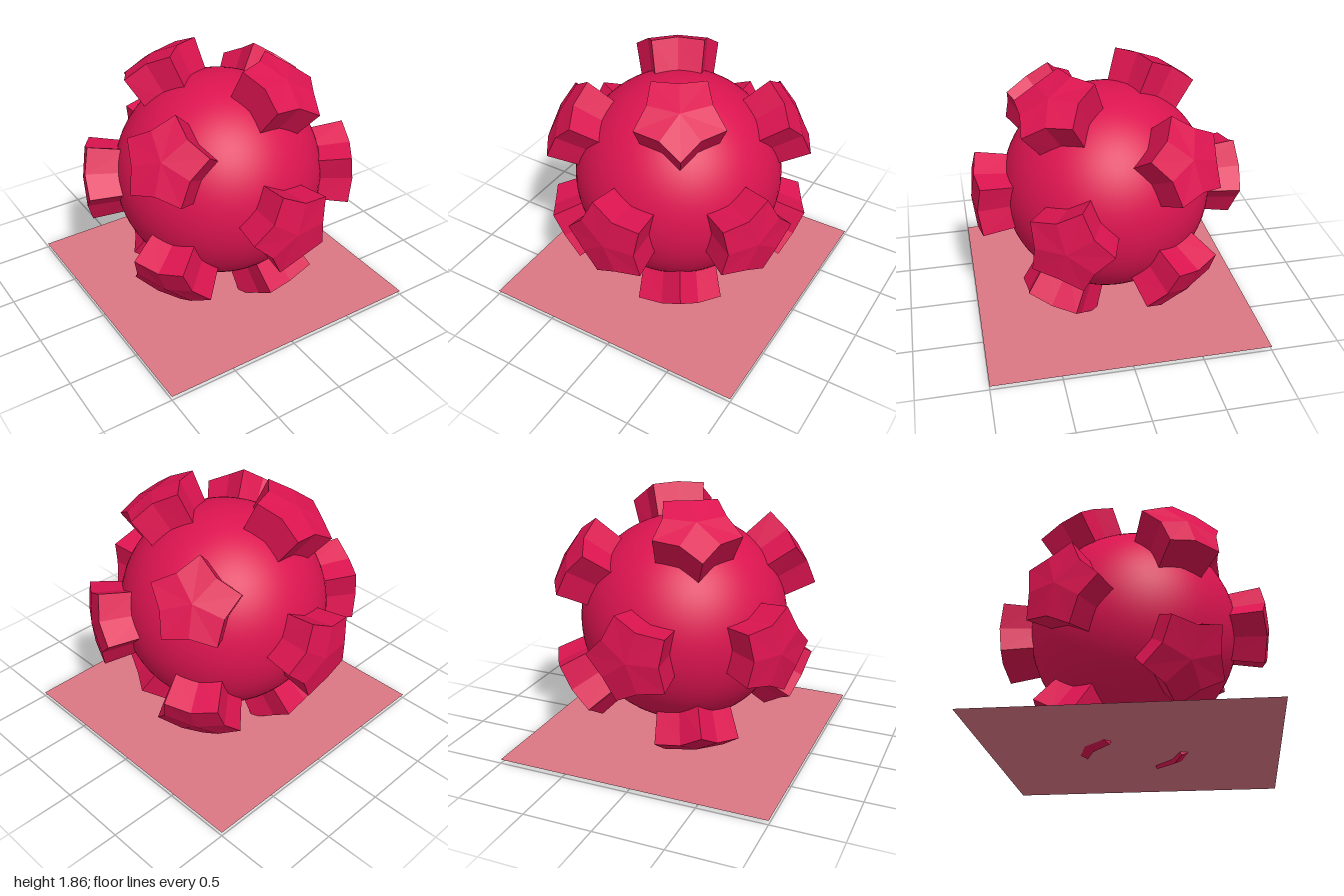
import * as THREE from 'three';

const CENTRE_Y = 0.93, BALL_R = 0.75, CAP_R = 0.98;

// Five-pointed stud along +z, first tip on +x; its cap lies on a sphere of radius CAP_R
function studGeometry() {
  const top = [], base = [], pos = [];
  for (let i = 0; i < 10; i++) {
    const a = i * Math.PI / 5, r = i % 2 ? 0.225 : 0.316;
    const x = r * Math.cos(a), y = r * Math.sin(a);
    top.push([x, y, Math.sqrt(CAP_R * CAP_R - r * r)]);
    base.push([x * 0.854, y * 0.854, 0.65]);
  }
  const tri = (...corners) => corners.forEach(c => pos.push(...c));
  for (let i = 0; i < 10; i++) {
    const j = (i + 1) % 10;
    tri([0, 0, CAP_R], top[i], top[j]);
    tri(top[i], base[i], base[j]);
    tri(top[i], base[j], top[j]);
    tri([0, 0, 0.65], base[j], base[i]);
  }
  const geo = new THREE.BufferGeometry();
  geo.setAttribute('position', new THREE.Float32BufferAttribute(pos, 3));
  geo.computeVertexNormals();
  return geo;
}

export function createModel() {
  const model = new THREE.Group();
  model.name = 'studdedBall';
  const color = 0xdc1450;
  const smooth = new THREE.MeshStandardMaterial({ color });
  const flat = new THREE.MeshStandardMaterial({ color, flatShading: true });

  const ball = new THREE.Mesh(new THREE.SphereGeometry(BALL_R, 64, 40), smooth);
  ball.name = 'ball';
  ball.position.y = CENTRE_Y;
  model.add(ball);

  // Twelve studs: two poles on the z axis and two staggered rings of five
  const studs = new THREE.Group();
  studs.name = 'studs';
  studs.position.y = CENTRE_Y;
  model.add(studs);
  const geo = studGeometry();
  const addStud = (dir, tip) => {
    const z = dir.normalize();
    const x = tip.addScaledVector(z, -tip.dot(z)).normalize();
    const y = new THREE.Vector3().crossVectors(z, x);
    const stud = new THREE.Mesh(geo, flat);
    stud.name = 'stud';
    stud.quaternion.setFromRotationMatrix(new THREE.Matrix4().makeBasis(x, y, z));
    studs.add(stud);
  };
  for (const s of [1, -1]) {
    addStud(new THREE.Vector3(0, 0, s), new THREE.Vector3(-s, 0, 0));
    for (let k = 0; k < 5; k++) {
      const a = k * Math.PI * 2 / 5;
      addStud(new THREE.Vector3(2 * s * Math.cos(a), 2 * s * Math.sin(a), s),
        new THREE.Vector3(0, 0, -s));
    }
  }

  // Thin floor sheet, just pierced by the lowest studs
  const floor = new THREE.Mesh(new THREE.PlaneGeometry(2, 2),
    new THREE.MeshStandardMaterial({ color: 0xdb7684, side: THREE.DoubleSide }));
  floor.name = 'floorSheet';
  floor.rotation.x = -Math.PI / 2;
  floor.position.y = 0.03;
  model.add(floor);
  return model;
}
